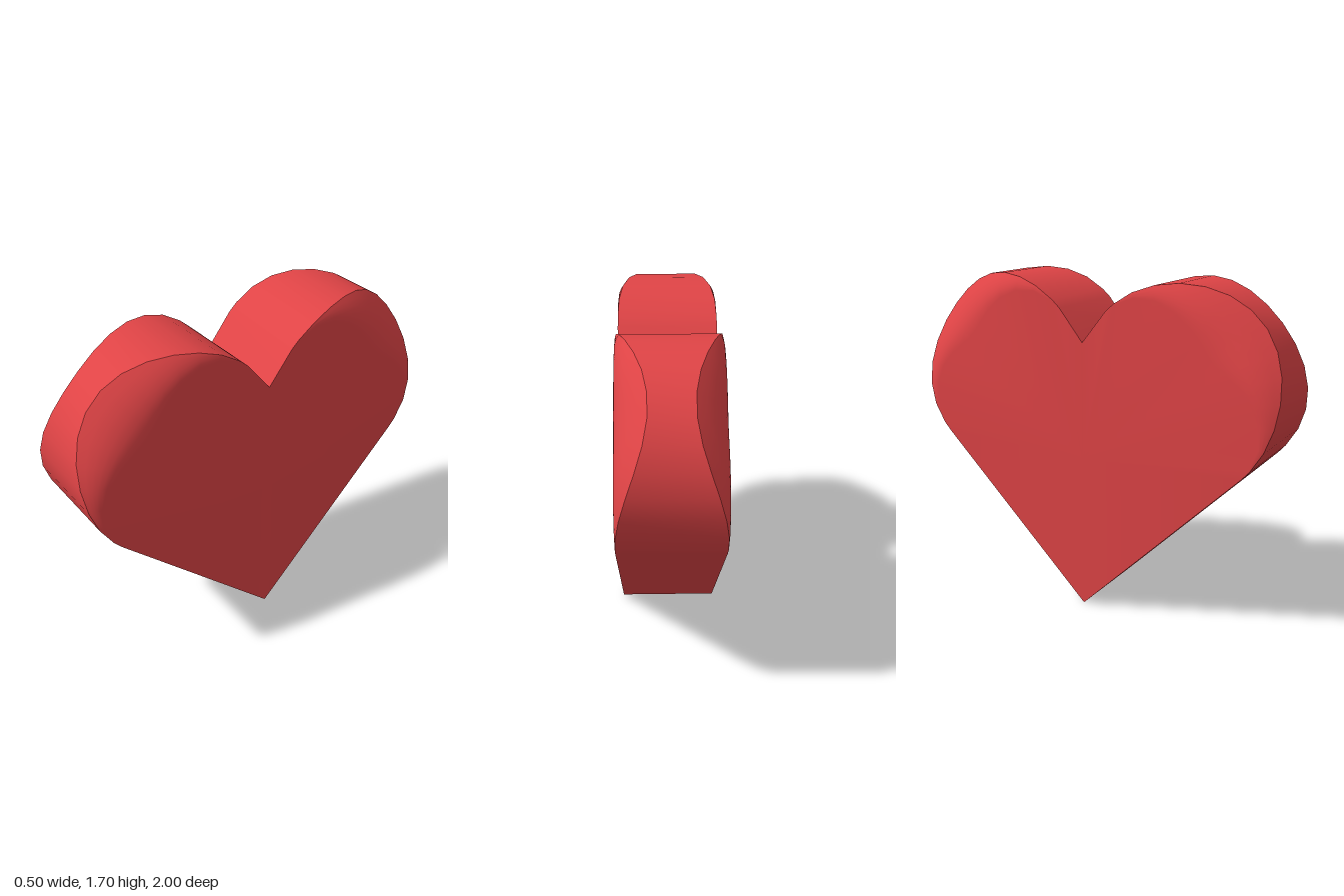
import * as THREE from 'three';
import { toCreasedNormals } from 'three/addons/utils/BufferGeometryUtils.js';

const HALF = 0.25;                        // half thickness
const LOBE = { z: 0.49, y: 1.19, r: 0.51 };

// Heart outline points; "bevel" is strongest on the outer shoulder of each lobe
function heartOutline() {
  const angles = [-45];
  for (let k = -3; k <= 10; k++) angles.push((k * 90) / 7);
  angles.push(135);
  const lobe = angles.map((deg) => ({
    a: THREE.MathUtils.degToRad(deg),
    bevel: Math.max(0, Math.cos(THREE.MathUtils.degToRad(deg - 45))),
    side: 1,
  }));
  const mirrored = lobe.map((p) => ({ ...p, side: -1 })).reverse();
  return [{ z: 0, y: 0 }, ...lobe, { z: 0, y: 1.39 }, ...mirrored];
}

// Point on one side: t = 0 is the flat face, t = 1 is the rim
function surfacePoint(p, t, sign) {
  if (p.a === undefined) return [sign * HALF, p.y, p.z];
  const r = LOBE.r - 0.25 * p.bevel ** 2 * (1 - t);
  const x = HALF - 0.15 * p.bevel ** 3 * t * t;
  return [sign * x, LOBE.y + r * Math.sin(p.a), p.side * (LOBE.z + r * Math.cos(p.a))];
}

function heartGeometry() {
  const outline = heartOutline();
  const n = outline.length;
  const steps = 6;
  const rings = [];
  for (let k = 0; k <= steps; k++) rings.push([k / steps, -1]);
  for (let k = steps; k >= 0; k--) rings.push([k / steps, 1]);

  const positions = [];
  const index = [];
  for (const [t, sign] of rings) {
    for (const p of outline) positions.push(...surfacePoint(p, t, sign));
  }

  // Bevels and rim
  for (let k = 0; k < rings.length - 1; k++) {
    for (let i = 0; i < n; i++) {
      const j = (i + 1) % n;
      const a = k * n, b = a + n;
      index.push(a + i, b + i, a + j, a + j, b + i, b + j);
    }
  }

  // Flat faces, fanned from the middle
  const centre = rings.length * n;
  const last = centre - n;
  positions.push(-HALF, 0.8, 0, HALF, 0.8, 0);
  for (let i = 0; i < n; i++) {
    const j = (i + 1) % n;
    index.push(centre, i, j, centre + 1, last + j, last + i);
  }

  const geometry = new THREE.BufferGeometry();
  geometry.setAttribute('position', new THREE.Float32BufferAttribute(positions, 3));
  geometry.setIndex(index);
  return toCreasedNormals(geometry, THREE.MathUtils.degToRad(32));
}

export function createModel() {
  const group = new THREE.Group();
  group.name = 'heart';
  const body = new THREE.Mesh(
    heartGeometry(),
    new THREE.MeshStandardMaterial({ color: 0xe04446 })
  );
  body.name = 'heartBody';
  group.add(body);
  return group;
}
